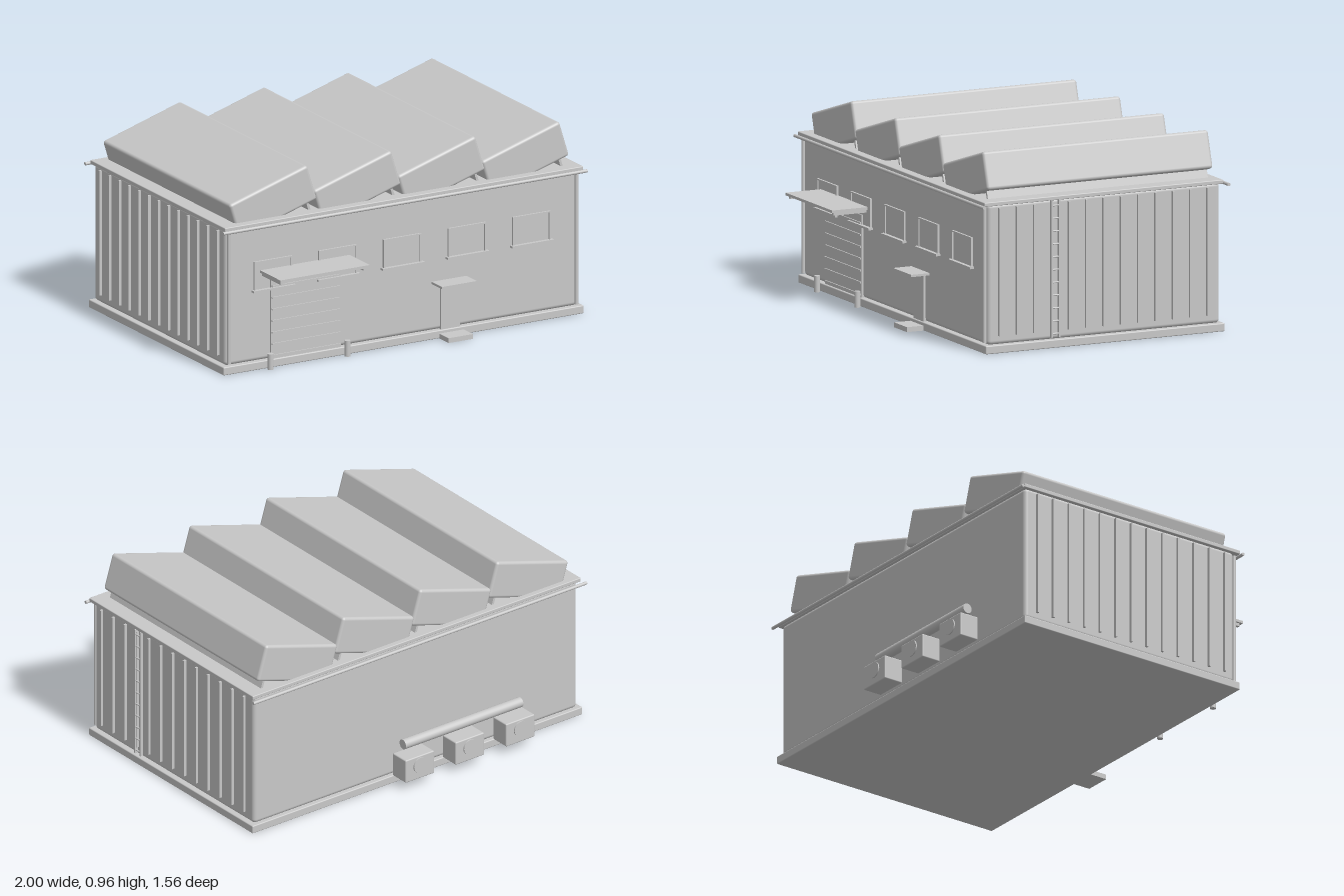
import * as THREE from 'three';
import { RoundedBoxGeometry } from 'three/addons/geometries/RoundedBoxGeometry.js';

const grey = new THREE.MeshStandardMaterial({ color: 0xc8c8c8 });
grey.name = 'lightGrey';

export function createModel() {
  const model = new THREE.Group();
  model.name = 'factory';

  const add = (name, geometry, x, y, z) => {
    const mesh = new THREE.Mesh(geometry, grey);
    mesh.name = name;
    mesh.position.set(x, y, z);
    model.add(mesh);
    return mesh;
  };
  // Box given by its extents; r > 0 rounds the edges
  const box = (name, x0, x1, y0, y1, z0, z1, r = 0) => {
    const size = [x1 - x0, y1 - y0, z1 - z0];
    const geometry = r ? new RoundedBoxGeometry(...size, 3, r) : new THREE.BoxGeometry(...size);
    return add(name, geometry, (x0 + x1) / 2, (y0 + y1) / 2, (z0 + z1) / 2);
  };
  const rod = (name, radius, length, x, y, z, axis = 'y') => {
    const geometry = new THREE.CylinderGeometry(radius, radius, length, 20);
    if (axis === 'x') geometry.rotateZ(Math.PI / 2);
    if (axis === 'z') geometry.rotateX(Math.PI / 2);
    return add(name, geometry, x, y, z);
  };

  // Main shell
  box('plinth', -0.99, 0.99, 0, 0.04, -0.665, 0.605, 0.005);
  box('walls', -0.97, 0.97, 0.038, 0.72, -0.65, 0.585, 0.02);
  box('roofSlab', -0.985, 0.985, 0.713, 0.733, -0.66, 0.61, 0.004);
  for (const z of [0.617, -0.682]) rod('gutter', 0.008, 2, 0, 0.71, z, 'x');
  for (const x of [-0.955, 0.955]) rod('downpipe', 0.009, 0.66, x, 0.38, 0.595);

  // Sawtooth roof
  const tilt = 0.3;
  for (let i = 0; i < 4; i++) {
    const x = -0.693 + i * 0.462;
    const shed = add('sawtoothRoof', new RoundedBoxGeometry(0.45, 0.185, 1.2, 3, 0.015), x, 0.805, -0.033);
    shed.rotation.z = tilt;
    const strip = add('roofGlazing', new THREE.BoxGeometry(0.012, 0.06, 1.17), x + 0.2, 0.75, -0.033);
    strip.rotation.z = tilt;
  }

  // Cladding ribs on both ends
  for (const side of [-1, 1]) {
    for (let i = 0; i < 13; i++) {
      const z = 0.525 - i * 0.0921;
      box('claddingRib', side * 0.975 - 0.009, side * 0.975 + 0.009, 0.08, 0.7, z - 0.005, z + 0.005);
    }
  }

  // Ladder on the left end
  for (const z of [0.212, 0.252]) box('ladderRail', 0.972, 0.988, 0.05, 0.712, z - 0.004, z + 0.004);
  for (let i = 0; i < 11; i++) rod('ladderRung', 0.004, 0.04, 0.983, 0.068 + i * 0.062, 0.232, 'z');

  // Front windows with frames and sills
  for (let i = 0; i < 5; i++) {
    const x = -0.71 + i * 0.355;
    box('windowPane', x - 0.1, x + 0.1, 0.394, 0.53, 0.58, 0.589);
    for (const s of [-1, 1]) {
      box('windowJamb', x + s * 0.1 - 0.004, x + s * 0.1 + 0.004, 0.392, 0.534, 0.58, 0.595);
    }
    box('windowHead', x - 0.104, x + 0.104, 0.527, 0.534, 0.58, 0.595);
    box('windowSill', x - 0.115, x + 0.115, 0.384, 0.394, 0.58, 0.608);
  }

  // Loading door, canopy and bollards
  box('loadingDoor', -0.725, -0.34, 0.04, 0.44, 0.58, 0.595);
  for (let i = 0; i < 7; i++) {
    const y = 0.055 + i * 0.0575;
    box('doorSlat', -0.72, -0.345, y - 0.004, y + 0.004, 0.59, 0.601);
  }
  box('loadingCanopy', -0.78, -0.288, 0.474, 0.487, 0.58, 0.778);
  for (const x of [-0.762, -0.306]) box('canopyBracket', x - 0.008, x + 0.008, 0.459, 0.475, 0.58, 0.765);
  for (const x of [-0.745, -0.322]) rod('bollard', 0.0145, 0.078, x, 0.039, 0.627);

  // Staff door
  box('staffDoor', 0.21, 0.315, 0.025, 0.26, 0.58, 0.597);
  box('staffDoorCanopy', 0.165, 0.357, 0.27, 0.281, 0.58, 0.683);
  box('doorStep', 0.195, 0.33, 0, 0.024, 0.58, 0.692);

  // Cooling units and duct at the back
  for (const x of [-0.535, -0.232, 0.068]) {
    box('coolingUnit', x - 0.086, x + 0.086, 0.045, 0.165, -0.772, -0.67, 0.006);
    rod('coolingFan', 0.04, 0.012, x, 0.117, -0.772, 'z');
  }
  rod('duct', 0.025, 0.705, -0.2325, 0.215, -0.705, 'x');

  return model;
}
